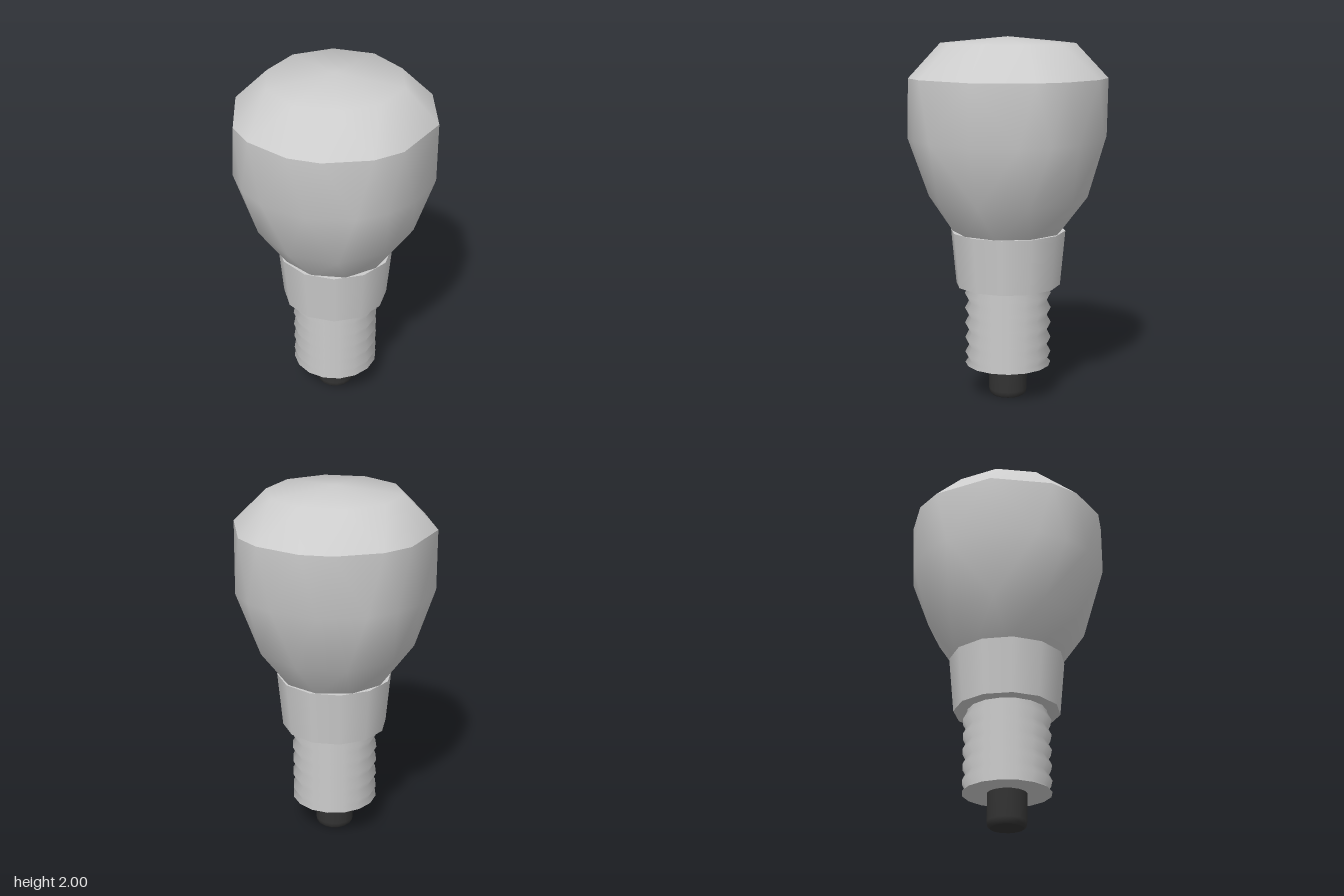
import * as THREE from 'three';

const grey = new THREE.MeshStandardMaterial({ color: 0xcccccc });
grey.name = 'grey';
const black = new THREE.MeshStandardMaterial({ color: 0x333333 });
black.name = 'black';

// evenly spaced angles, and a two-fold or four-fold repeat of a short list
const even = (n, start = 0) => Array.from({ length: n }, (_, i) => start + (i * 360) / n);
const repeat = (list, times) =>
  Array.from({ length: times }, (_, k) => list.map((a) => a + (k * 360) / times)).flat();

// Smooth skin over rings { y, r, angles }, bottom to top; neighbouring rings may differ in corners
function ringSkin(rings) {
  const pos = [], index = [], starts = [];
  for (const { y, r, angles } of rings) {
    starts.push(pos.length / 3);
    for (const a of angles) {
      const t = THREE.MathUtils.degToRad(a);
      pos.push(r * Math.cos(t), y, r * Math.sin(t));
    }
  }
  for (let k = 0; k + 1 < rings.length; k++) {
    const A = rings[k].angles, B = rings[k + 1].angles;
    const at = (L, i) => L[i % L.length] + 360 * Math.floor(i / L.length);
    const low = (i) => starts[k] + (i % A.length);
    const up = (j) => starts[k + 1] + (j % B.length);
    let i = 0, j = 0;
    while (i < A.length || j < B.length) {
      const stepLow = j >= B.length || (i < A.length &&
        at(A, i) + at(A, i + 1) <= at(B, j) + at(B, j + 1));
      if (stepLow) { index.push(low(i), up(j), low(i + 1)); i++; }
      else { index.push(low(i), up(j), up(j + 1)); j++; }
    }
  }
  const g = new THREE.BufferGeometry();
  g.setAttribute('position', new THREE.Float32BufferAttribute(pos, 3));
  g.setIndex(index);
  g.computeVertexNormals();
  return g;
}

const lathe = (pts, n) => new THREE.LatheGeometry(pts.map((p) => new THREE.Vector2(...p)), n);

export function createModel() {
  const group = new THREE.Group();
  const add = (name, geometry, material) => {
    const m = new THREE.Mesh(geometry, material);
    m.name = name;
    group.add(m);
    return m;
  };
  const disc = (name, r, y, n, material) => {
    const m = add(name, new THREE.CircleGeometry(r, n), material);
    m.rotation.x = Math.PI / 2;
    m.position.y = y;
  };

  // glass bulb: tapered body and a domed top that meet at a sharp rim
  const rim = { y: 1.785, r: 0.545, angles: repeat([9, 45, 81, 99, 126, 144, 171], 2) };
  add('bulbBody', ringSkin([
    { y: 0.93, r: 0.295, angles: even(10) },
    { y: 1.13, r: 0.437, angles: even(10, 9) },
    { y: 1.46, r: 0.545, angles: repeat([0, 18, 45, 72], 4) },
    rim,
  ]), grey);
  add('bulbDome', ringSkin([
    rim,
    { y: 1.965, r: 0.365, angles: even(10, 9) },
    { y: 2.0, r: 0, angles: [0] },
  ]), grey);

  // collar
  const collar = add('collar', new THREE.CylinderGeometry(0.318, 0.29, 0.305, 12), grey);
  collar.position.y = 0.7925;

  // screw base: stacked ridges, shaded as a plain cylinder
  const profile = [[0.24, 0.185], [0.218, 0.205]];
  for (let i = 0; i < 5; i++) {
    const y = 0.245 + i * 0.085;
    profile.push([0.24, y], [0.218, y + 0.0425]);
  }
  profile.push([0.218, 0.66]);
  const screw = lathe(profile, 16);
  const n = screw.attributes.normal, p = screw.attributes.position;
  for (let i = 0; i < n.count; i++) {
    const v = new THREE.Vector3(p.getX(i), 0, p.getZ(i)).normalize();
    n.setXYZ(i, v.x, v.y, v.z);
  }
  add('screwBase', screw, grey);
  disc('screwBottom', 0.24, 0.185, 16, grey);

  // contact plug
  add('contactPlug', lathe([[0.09, 0], [0.103, 0.012], [0.107, 0.035], [0.107, 0.19]], 16), black);
  disc('contactTip', 0.09, 0, 16, black);

  return group;
}
